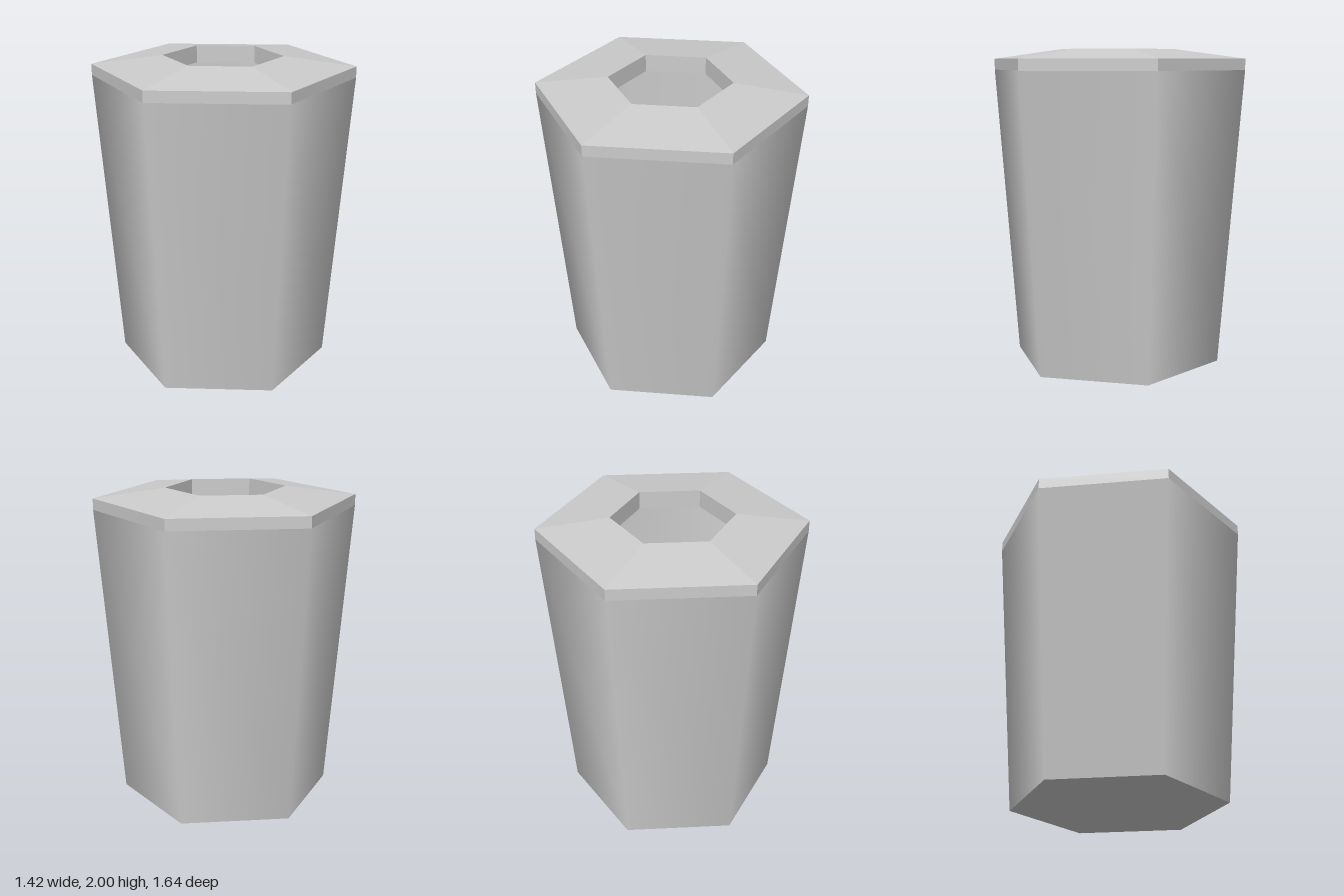
import * as THREE from 'three';

const SIDES = 6;

// Revolves a profile of [radius, height] pairs into a hexagonal shell;
// a rising profile faces outward, a falling one inward.
function hexShell(name, profile, flatShading) {
  const points = profile.map(([r, y]) => new THREE.Vector2(r, y));
  const material = new THREE.MeshStandardMaterial({ color: 0xcccccc, flatShading });
  const mesh = new THREE.Mesh(new THREE.LatheGeometry(points, SIDES), material);
  mesh.name = name;
  return mesh;
}

export function createModel() {
  const group = new THREE.Group();
  group.name = 'hexagonalJar';

  // Tapered body, smooth around its six sides, with a crisp flat base
  group.add(hexShell('bodyOuterWall', [[0.675, 0], [0.82, 1.87]], false));
  group.add(hexShell('bodyBase', [[0, 0], [0.675, 0]], true));

  // Hollow inside
  group.add(hexShell('bodyInnerWall', [[0.78, 1.87], [0.64, 0.05]], false));
  group.add(hexShell('bodyInnerFloor', [[0.64, 0.05], [0, 0.05]], true));

  // Faceted lid: rim band, sloped top, hexagonal opening and underside
  group.add(hexShell('lid', [
    [0.82, 1.87], [0.82, 1.94], [0.375, 2], [0.375, 1.89], [0.78, 1.87],
  ], true));

  return group;
}
